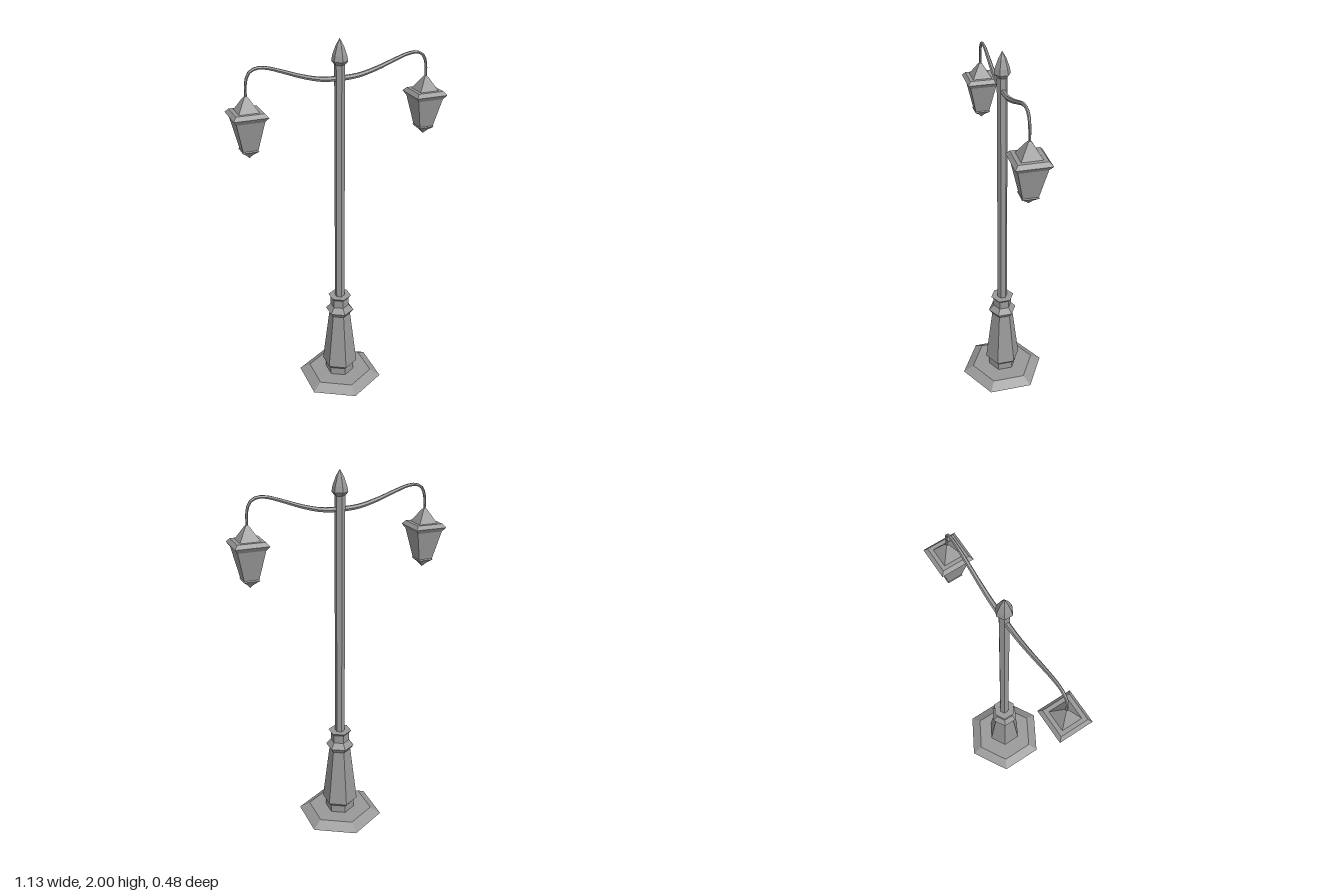
import * as THREE from 'three';

const castIron = new THREE.MeshStandardMaterial({ color: 0x999999 });
castIron.name = 'cast iron grey';

// Gives every face its own normal, for a faceted look
function faceted(geometry) {
  const g = geometry.toNonIndexed();
  g.computeVertexNormals();
  return g;
}

function part(name, geometry) {
  const mesh = new THREE.Mesh(faceted(geometry), castIron);
  mesh.name = name;
  return mesh;
}

// Turns a [radius, height] profile, listed from bottom to top, into a prism-like solid
function turned(name, sides, profile, startAngle = 0) {
  const points = profile.map(([r, y]) => new THREE.Vector2(r, y));
  return part(name, new THREE.LatheGeometry(points, sides, startAngle));
}

// Square solid; the profile holds half widths
function square(name, profile) {
  return turned(name, 4, profile.map(([w, y]) => [w * Math.SQRT2, y]), Math.PI / 4);
}

// Tube that narrows along its path
function taperedTube(path, steps, sides, r0, r1) {
  const g = new THREE.TubeGeometry(path, steps, 1, sides);
  const pos = g.attributes.position;
  const v = new THREE.Vector3();
  for (let i = 0; i <= steps; i++) {
    const t = i / steps;
    const centre = path.getPointAt(t);
    const r = THREE.MathUtils.lerp(r0, r1, t);
    for (let j = 0; j <= sides; j++) {
      const k = i * (sides + 1) + j;
      v.fromBufferAttribute(pos, k).sub(centre).multiplyScalar(r).add(centre);
      pos.setXYZ(k, v.x, v.y, v.z);
    }
  }
  return g;
}

function createLantern() {
  const lantern = new THREE.Group();
  lantern.name = 'lantern';
  lantern.add(
    square('lanternRoof', [
      [0.07, 1.655], [0.086, 1.677], [0.07, 1.696], [0.051, 1.696], [0.012, 1.76], [0, 1.775],
    ]),
    square('lanternBody', [[0.038, 1.505], [0.07, 1.655]]),
    square('lanternDrop', [[0, 1.457], [0.017, 1.478], [0.041, 1.499], [0.038, 1.505]]),
  );
  return lantern;
}

export function createModel() {
  const model = new THREE.Group();
  model.name = 'streetLamp';

  // Hexagonal foot, pedestal, pole and finial
  model.add(
    turned('foot', 6, [[0, 0], [0.241, 0], [0.182, 0.036], [0, 0.036]]),
    turned('pedestal', 6, [
      [0.082, 0.036], [0.082, 0.08], [0.1, 0.1], [0.06, 0.43], [0.079, 0.457],
      [0.052, 0.488], [0.052, 0.535], [0.065, 0.55], [0, 0.55],
    ]),
    turned('pole', 6, [[0.027, 0.55], [0.027, 1.875]]),
    turned('finial', 6, [
      [0, 1.87], [0.027, 1.872], [0.042, 1.89], [0.036, 1.92], [0.02, 1.965], [0, 2],
    ]),
  );

  // Curved arms with hanging lanterns, one on each side
  for (const [side, label] of [[1, 'left'], [-1, 'right']]) {
    const path = new THREE.CatmullRomCurve3([
      [0, 1.803], [0.1, 1.81], [0.2, 1.835], [0.3, 1.87], [0.37, 1.892],
      [0.42, 1.895], [0.455, 1.878], [0.473, 1.835], [0.477, 1.76],
    ].map(([x, y]) => new THREE.Vector3(side * x, y, 0)));
    model.add(part(label + 'Arm', taperedTube(path, 24, 6, 0.014, 0.006)));

    const lantern = createLantern();
    lantern.name = label + 'Lantern';
    lantern.position.x = side * 0.477;
    model.add(lantern);
  }

  return model;
}
